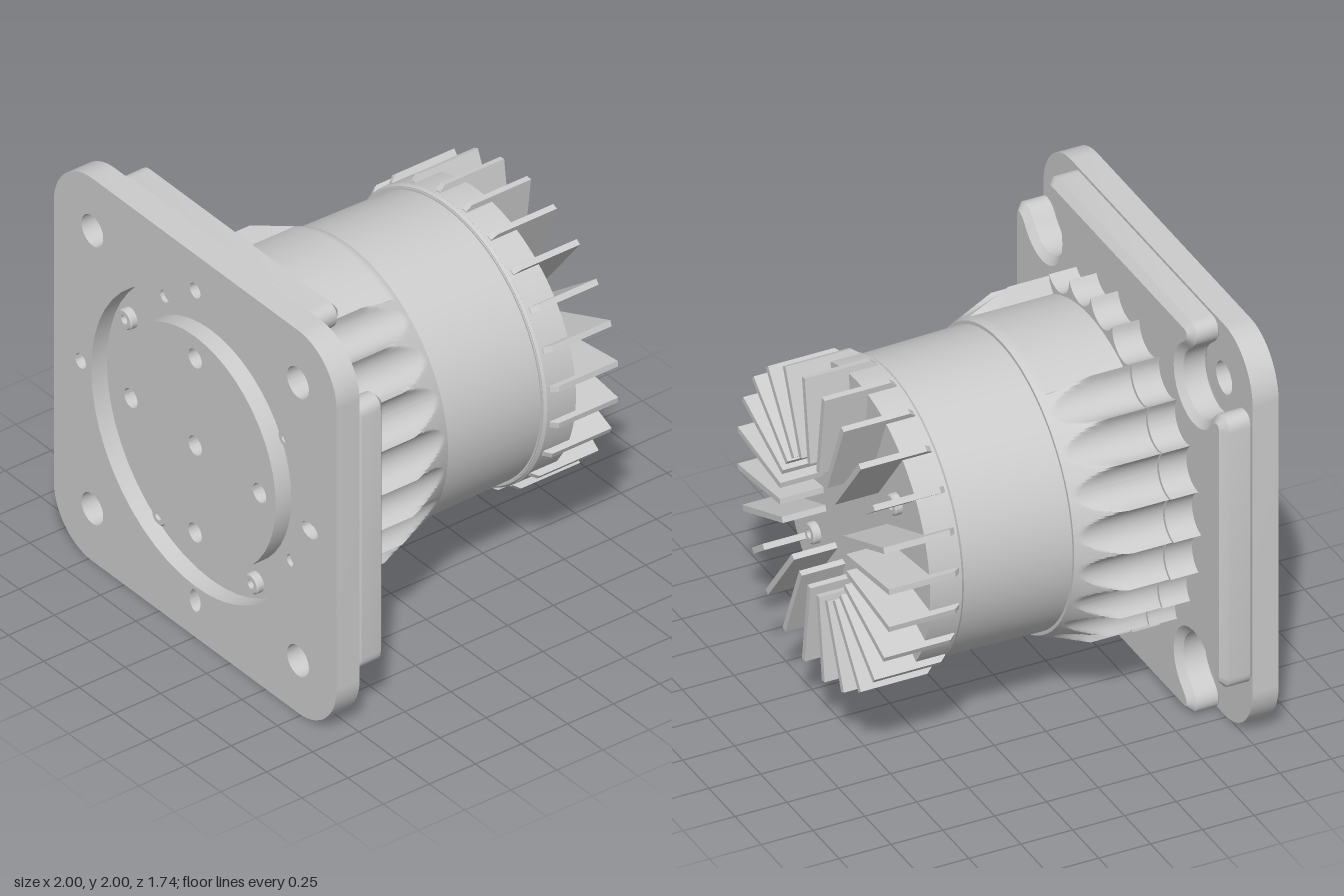
import * as THREE from 'three';
import { toCreasedNormals } from 'three/addons/utils/BufferGeometryUtils.js';

const V = (x, y) => new THREE.Vector2(x, y);
const rad = THREE.MathUtils.degToRad;

export function createModel() {
  const model = new THREE.Group();
  const body = new THREE.Group();
  body.name = 'housing';
  body.position.y = 1;
  model.add(body);
  const mat = new THREE.MeshStandardMaterial({ color: 0xcccccc, side: THREE.DoubleSide });

  function add(name, geo, parent = body) {
    const m = new THREE.Mesh(toCreasedNormals(geo, 0.5), mat);
    m.name = name;
    parent.add(m);
    return m;
  }
  // Slab of a shape between two depths
  const slab = (name, shape, z0, z1) => add(name, new THREE.ExtrudeGeometry(shape,
    { depth: z1 - z0, bevelEnabled: false, curveSegments: 24 }).translate(0, 0, z0));
  // Cylinder along z
  const drum = (name, rBack, rFront, z0, z1) => add(name,
    new THREE.CylinderGeometry(rFront, rBack, z1 - z0, 96).rotateX(Math.PI / 2).translate(0, 0, (z0 + z1) / 2));
  const disc = r => new THREE.Shape().absarc(0, 0, r, 0, Math.PI * 2, false);
  const hole = (shape, x, y, rx, ry = rx) =>
    shape.holes.push(new THREE.Path().absellipse(x, y, rx, ry, 0, Math.PI * 2, true));

  // Front flange plate with rounded corners
  const c = 0.73;
  const plate = new THREE.Shape();
  [[c, c], [-c, c], [-c, -c], [c, -c]].forEach(([x, y], i) =>
    plate.absarc(x, y, 1 - c, i * Math.PI / 2, (i + 1) * Math.PI / 2, false));
  plate.closePath();
  for (const x of [-0.727, 0.727]) for (const y of [-0.727, 0.727]) hole(plate, x, y, 0.077);
  hole(plate, 0, 0, 0.735);
  hole(plate, 0, 0.81, 0.037);
  hole(plate, -0.81, 0, 0.037);
  hole(plate, 0.81, 0, 0.056, 0.038);
  hole(plate, 0, -0.81, 0.038, 0.056);
  slab('flangePlate', plate, 0.745, 0.87);

  // Thick backing with a curved pocket round each bolt hole
  const lip = [
    ...new THREE.CubicBezierCurve(V(1, 0.63), V(1, 0.69), V(0.95, 0.7), V(0.915, 0.685)).getPoints(7),
    ...new THREE.CubicBezierCurve(V(0.915, 0.685), V(0.89, 0.675), V(0.87, 0.648), V(0.85, 0.624)).getPoints(5).slice(1),
  ];
  const corner = [...lip];
  for (let a = -50; a >= -220; a -= 10)
    corner.push(V(0.727 + 0.16 * Math.cos(rad(a)), 0.727 + 0.16 * Math.sin(rad(a))));
  corner.push(...lip.map(p => V(p.y, p.x)).reverse());
  const outline = [];
  for (let k = 0; k < 4; k++)
    for (const p of corner) outline.push(p.clone().rotateAround(V(0, 0), k * Math.PI / 2));
  add('flangeBacking', new THREE.ExtrudeGeometry(new THREE.Shape(outline), {
    depth: 0.105, bevelThickness: 0.03, bevelSize: 0.035, bevelOffset: -0.035, bevelSegments: 1,
  }).translate(0, 0, 0.63));

  // Groove floor, centre disc and their holes
  const floor = disc(0.735);
  hole(floor, 0, 0, 0.56);
  for (const s of [-1, 1]) {
    hole(floor, s * 0.327, 0.567, 0.03);
    hole(floor, s * 0.567, -0.327, 0.03);
  }
  slab('grooveFloor', floor, 0.765, 0.785);
  const face = disc(0.57);
  for (const [x, y] of [[0, 0], [1, 0], [-1, 0], [0, 1], [0, -1]]) hole(face, x * 0.455, y * 0.455, 0.047);
  slab('centreDisc', face, 0.765, 0.87);

  // Socket head screws
  function screw(name, x, y, z, dir) {
    const prof = [V(0, 0.005), V(0.022, 0.005), V(0.022, 0.035), V(0.042, 0.035), V(0.05, 0.027), V(0.05, -0.01)];
    const m = add(name, new THREE.LatheGeometry(prof, 24).rotateX(dir * Math.PI / 2));
    m.position.set(x, y, z);
  }
  for (const s of [-1, 1]) {
    screw('grooveScrew', s * 0.567, 0.327, 0.785, 1);
    screw('grooveScrew', s * 0.327, -0.567, 0.785, 1);
  }

  // Fluted skins: 24 concave flutes meeting at sharp ridges
  const STEP = Math.PI / 12;
  const flute = t => {
    const d = ((t % STEP) + STEP) % STEP - STEP / 2;
    const s = 0.819 * Math.sin(d);
    return 0.819 * Math.cos(d) - Math.sqrt(0.0119 - s * s);
  };
  function loft(name, zs, radius) {
    const N = 480, pos = [], idx = [];
    const rows = [[zs[0], 0.55], ...zs.map(z => [z, 0]), [zs[zs.length - 1], 0.55]];
    rows.forEach(([z, fixed], j) => {
      for (let i = 0; i <= N; i++) {
        const t = i / N * Math.PI * 2, r = fixed || radius(t, z);
        pos.push(r * Math.cos(t), r * Math.sin(t), z);
        if (i < N && j < rows.length - 1) {
          const a = j * (N + 1) + i, d = a + N + 1;
          idx.push(a, a + 1, d + 1, a, d + 1, d);
        }
      }
    });
    const g = new THREE.BufferGeometry();
    g.setAttribute('position', new THREE.Float32BufferAttribute(pos, 3));
    g.setIndex(idx);
    add(name, g);
  }
  loft('flutedBaseRing', [0.468, 0.61], t => flute(t) + 0.005);
  const skirtZ = Array.from({ length: 17 }, (_, i) => 0.035 + i * 0.235 / 16).concat(0.462);
  loft('flutedSkirt', skirtZ, (t, z) => {
    const cone = Math.min(0.79, 0.7 + (z - 0.035) * 0.09 / 0.235);
    const up = Math.abs(t - Math.PI / 2), down = t - Math.PI * 1.5;
    if (up < Math.PI / 6 - 0.001) return Math.min(cone, 0.71);      // smooth top
    if (Math.abs(down) < STEP) return Math.min(cone, 0.763 / Math.cos(down)); // connector pad
    return Math.min(cone, flute(t));
  });
  drum('skirtCore', 0.69, 0.69, 0.44, 0.5);

  // Plain barrel and rear cap
  drum('barrel', 0.675, 0.685, -0.5, 0.05);
  drum('capRim', 0.685, 0.685, -0.5, -0.488);
  drum('rearCap', 0.7, 0.7, -0.66, -0.505);
  drum('rearCapChamfer', 0.7, 0.69, -0.506, -0.492);

  // Radial cooling fins; two are cut short to clear the cap screws
  const T = 0.028;
  for (let k = 0; k < 24; k++) {
    const deg = 7.5 + 15 * k;
    const short = deg === 142.5 || deg === 322.5;
    const r0 = short ? 0.6 : 0.32;
    const s = new THREE.Shape([V(r0, 0.52), V(0.705, 0.52), V(0.73, 0.55), V(0.73, 0.87), V(r0, 0.87)]);
    const g = new THREE.ExtrudeGeometry(s, { depth: T, bevelEnabled: false })
      .translate(0, 0, -T / 2).rotateX(-Math.PI / 2);
    add('coolingFin', g.rotateZ(rad(deg)));
    if (short) screw('capScrew', 0.49 * Math.cos(rad(deg)), 0.49 * Math.sin(rad(deg)), -0.66, -1);
  }

  // Round cable connector underneath
  const conn = [V(0, 0.04), V(0.055, 0.04), V(0.055, 0), V(0.085, 0), V(0.09, 0.008), V(0.09, 0.03),
    V(0.075, 0.035), V(0.075, 0.05), V(0.085, 0.055), V(0.085, 0.07), V(0.095, 0.075), V(0.095, 0.13)];
  add('connector', new THREE.LatheGeometry(conn, 40)).position.set(0, -0.84, 0.305);
  add('connectorPin', new THREE.CylinderGeometry(0.025, 0.025, 0.04, 20)).position.set(0, -0.81, 0.305);

  return model;
}
